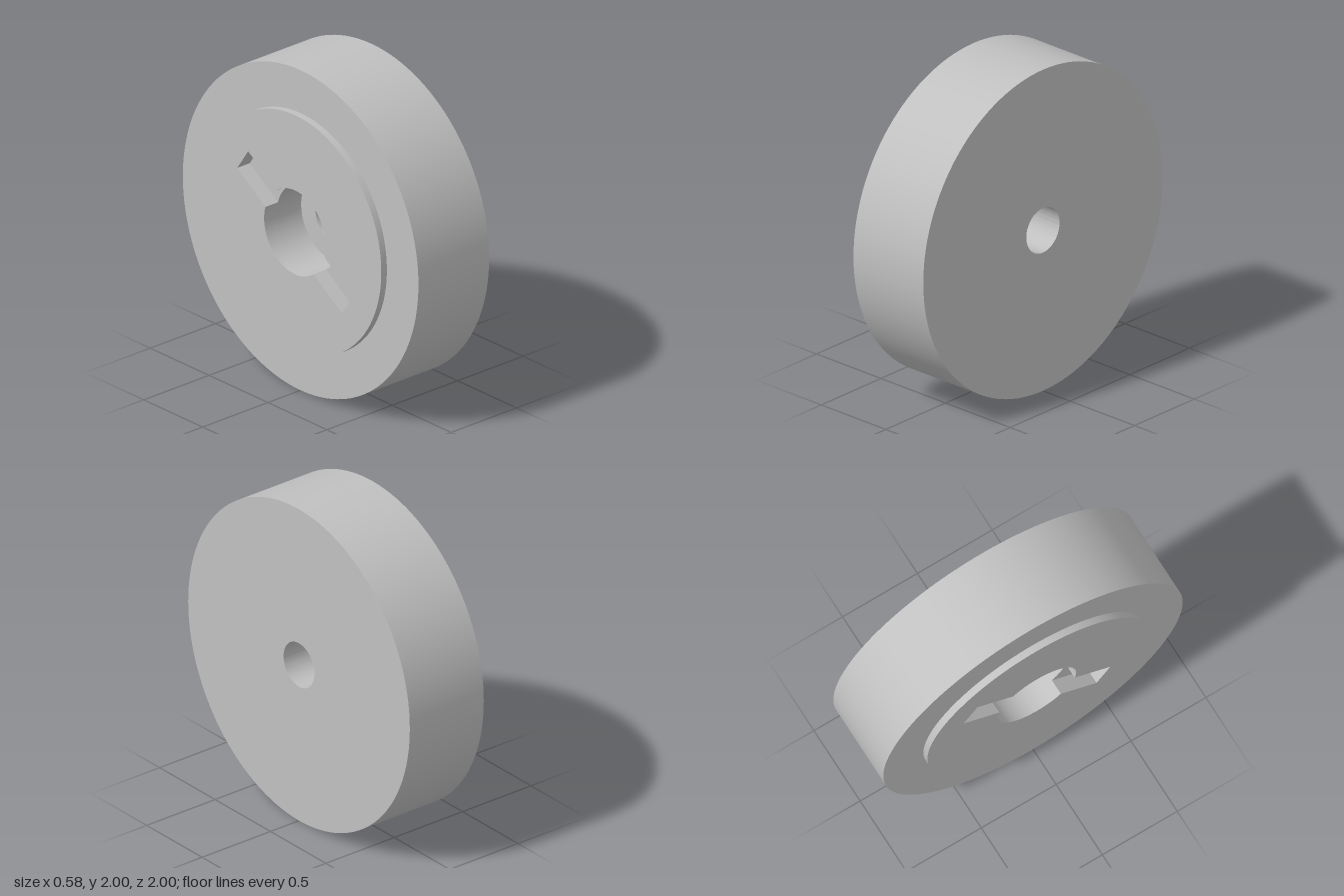
import * as THREE from 'three';
import { toCreasedNormals } from 'three/addons/utils/BufferGeometryUtils.js';

// Sizes; depths run along the axle, positive toward the recessed side
const FACE = 0.293, STEP = 0.25, BACK = -0.291;
const SLOT_FLOOR = 0.197, BORE_FLOOR = 0.01;
const R_RIM = 1, R_HUB = 0.732, R_BORE = 0.262, R_HOLE = 0.139;
const SLOT_LENGTH = 0.538, SLOT_HALF = 0.082;
const SLOT_ANGLE = THREE.MathUtils.degToRad(-34.4);
const SLOT_ARC = Math.asin(SLOT_HALF / R_BORE);

const polar = (r, a) => new THREE.Vector2(r * Math.cos(a), r * Math.sin(a));

function arc(r, from, to, steps) {
  return Array.from({ length: steps + 1 }, (_, i) => polar(r, from + (to - from) * i / steps));
}

// Two outer corners of a slot pointing along angle a
function slotEnd(a) {
  return [-SLOT_HALF, SLOT_HALF].map((w) =>
    new THREE.Vector2(SLOT_LENGTH, w).rotateAround(new THREE.Vector2(), a));
}

// Straight walls following a closed outline, facing inward
function innerWall(points, z0, z1) {
  const pos = [];
  points.forEach((p, i) => {
    const q = points[(i + 1) % points.length];
    pos.push(p.x, p.y, z0, q.x, q.y, z1, q.x, q.y, z0);
    pos.push(p.x, p.y, z0, p.x, p.y, z1, q.x, q.y, z1);
  });
  const geo = new THREE.BufferGeometry();
  geo.setAttribute('position', new THREE.Float32BufferAttribute(pos, 3));
  return toCreasedNormals(geo, 0.4);
}

export function createModel() {
  const model = new THREE.Group();
  model.name = 'wheel';
  const grey = new THREE.MeshStandardMaterial({ color: 0xc0c0c0 });
  grey.name = 'grey';

  const wheel = new THREE.Group();
  wheel.name = 'wheelBody';
  wheel.rotation.y = -Math.PI / 2;
  wheel.position.y = 1;
  model.add(wheel);

  const add = (name, geo, z = 0) => {
    const mesh = new THREE.Mesh(geo, grey);
    mesh.name = name;
    mesh.position.z = z;
    wheel.add(mesh);
  };

  // Turned body: wide bore, through hole, rim and raised hub
  const profile = [
    [R_BORE, SLOT_FLOOR], [R_BORE, BORE_FLOOR], [R_HOLE, BORE_FLOOR], [R_HOLE, BACK],
    [R_RIM, BACK], [R_RIM, STEP], [R_HUB, STEP], [R_HUB, FACE],
  ].map(([r, h]) => new THREE.Vector2(r, h));
  const body = new THREE.LatheGeometry(profile, 120).rotateX(Math.PI / 2);
  add('turnedBody', toCreasedNormals(body, 0.4));

  // Outline of the bore joined with its two opposite key slots
  const outline = [0, Math.PI].flatMap((turn) => {
    const a = SLOT_ANGLE + turn;
    return [...slotEnd(a), ...arc(R_BORE, a + SLOT_ARC, a + Math.PI - SLOT_ARC, 48)];
  });

  // Hub face with the keyed opening
  const hub = new THREE.Shape(arc(R_HUB, 0, Math.PI * 2, 120).slice(0, -1));
  hub.holes.push(new THREE.Path(outline));
  add('hubFace', new THREE.ShapeGeometry(hub), FACE);
  add('keyedWall', innerWall(outline, SLOT_FLOOR, FACE));

  // Slot floors
  [0, Math.PI].forEach((turn, i) => {
    const a = SLOT_ANGLE + turn;
    const floor = new THREE.Shape([...slotEnd(a), ...arc(R_BORE, a + SLOT_ARC, a - SLOT_ARC, 12)]);
    add(`slotFloor${i + 1}`, new THREE.ShapeGeometry(floor), SLOT_FLOOR);
  });

  return model;
}
